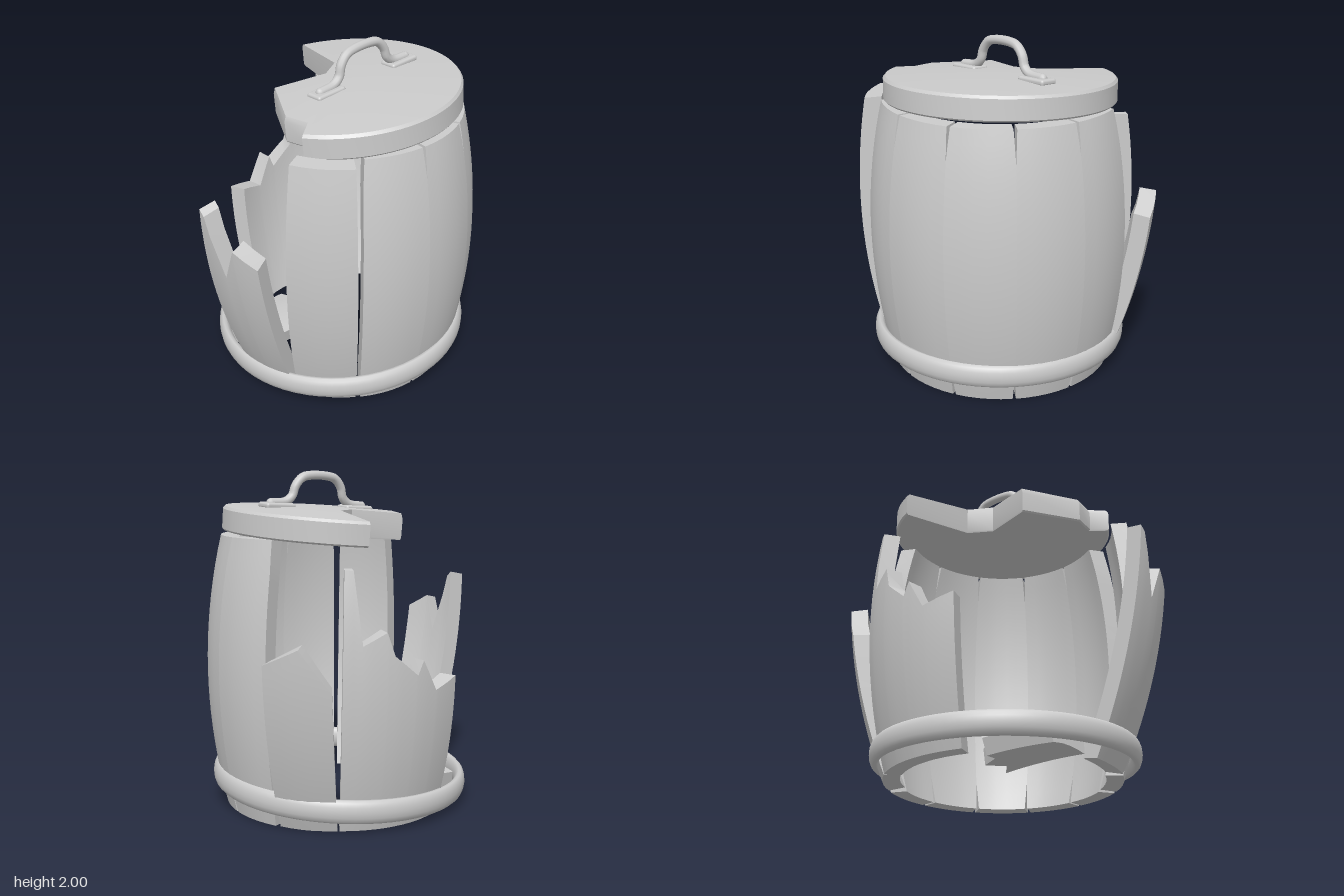
import * as THREE from 'three';
import { toCreasedNormals } from 'three/addons/utils/BufferGeometryUtils.js';
import { RoundedBoxGeometry } from 'three/addons/geometries/RoundedBoxGeometry.js';

const material = new THREE.MeshStandardMaterial({ color: 0xcccccc });
const rad = THREE.MathUtils.degToRad;
const HEIGHT = 1.63, THICK = 0.1, FOOT = 0.69, ROWS = 18;

// Outer radius of the bulging barrel at height y
const radiusAt = y => 0.79 - 0.1 * ((y - 0.83) / 0.82) ** 2;

function addMesh(parent, name, geometry) {
  const mesh = new THREE.Mesh(geometry, material);
  mesh.name = name;
  parent.add(mesh);
  return mesh;
}

// Joins closed loops of points into a skin; capped closes the first and last loop
function skin(loops, capped, crease) {
  const n = loops[0].length, last = (loops.length - 1) * n, index = [];
  const quad = (a, b, c, d) => index.push(a, b, c, a, c, d);
  for (let i = 0; i < loops.length - 1; i++)
    for (let k = 0; k < n; k++) {
      const m = (k + 1) % n;
      quad(i * n + k, (i + 1) * n + k, (i + 1) * n + m, i * n + m);
    }
  if (capped)
    for (let j = 0; j < n / 2 - 1; j++) {
      const q = [j, j + 1, n - 2 - j, n - 1 - j];
      quad(...q);
      quad(...q.reverse().map(v => v + last));
    }
  const geometry = new THREE.BufferGeometry();
  geometry.setAttribute('position', new THREE.Float32BufferAttribute(loops.flat(2), 3));
  geometry.setIndex(index);
  return toCreasedNormals(geometry, crease);
}

// Height of a jagged top, given [fraction of width, height] points
function topAt(tops, t) {
  for (let i = 1; i < tops.length; i++) {
    const [t0, h0] = tops[i - 1], [t1, h1] = tops[i];
    if (t <= t1) return h0 + (h1 - h0) * (t - t0) / (t1 - t0);
  }
  return tops[tops.length - 1][1];
}

// Curved stave facing +z, with its outer foot at the origin; notch narrows both ends
function staveGeometry(width, tops, notch = 0) {
  const steps = Math.round(width / 6);
  const ts = new Set(tops.map(p => p[0]));
  for (let i = 0; i <= steps; i++) ts.add(i / steps);
  const loops = [...ts].sort((a, b) => a - b).map(t => {
    const h = topAt(tops, t), outer = [], inner = [];
    for (let j = 0; j <= ROWS; j++) {
      const y = h * j / ROWS;
      const pinch = notch * Math.max(0, (y - 1.45) / 0.18, (0.18 - y) / 0.18);
      const a = (t - 0.5) * (rad(width) - 2 * pinch), r = radiusAt(y);
      outer.push([r * Math.sin(a), y, r * Math.cos(a) - FOOT]);
      inner.unshift([(r - THICK) * Math.sin(a), y, (r - THICK) * Math.cos(a) - FOOT]);
    }
    return [...outer, ...inner];
  });
  return skin(loops, true, 0.5);
}

// Stands a stave in the barrel between two angles (0 = front, 90 = left side)
function addStave(parent, name, from, to, tops, lean = 0, notch = 0) {
  const geometry = staveGeometry(to - from, tops, notch);
  geometry.rotateX(rad(lean)).translate(0, 0, FOOT).rotateY(rad((from + to) / 2));
  return addMesh(parent, name, geometry);
}

function makeLid() {
  const lid = new THREE.Group();
  lid.name = 'lid';
  const R = 0.68, pole = [0.11, -0.02], outline = [];
  // Round rim, then the broken edge
  for (let i = 0; i <= 44; i++) {
    const a = rad(116 - 220.5 * i / 44);
    outline.push([R * Math.cos(a), R * Math.sin(a)]);
  }
  outline.push([-0.02, -0.24], [-0.09, -0.09], [-0.4, 0.01], [-0.37, 0.39], [-0.26, 0.5]);
  // [scale of outline, height] from the top centre over the rim to the underside
  const profile = [[0, 0], [0.35, 0], [0.7, 0], [0.98, 0], [1, -0.015], [1, -0.13], [0.985, -0.14], [0, -0.14]];
  const loops = profile.map(([s, y]) => outline.map(([x, z]) => {
    const px = pole[0] + s * (x - pole[0]), pz = pole[1] + s * (z - pole[1]);
    const dome = y === 0 ? 0.03 * Math.max(0, 1 - (px * px + pz * pz) / (R * R)) : 0;
    return [px, y + dome, pz];
  }));
  addMesh(lid, 'lidBoard', skin(loops, false, 0.55));

  // Arched handle with two fixing plates
  const handle = new THREE.Group();
  handle.name = 'handle';
  const half = [[-0.33, 0.015], [-0.23, 0.025], [-0.185, 0.06], [-0.165, 0.12], [-0.12, 0.17], [-0.06, 0.185]];
  const path = [...half, ...half.map(([x, y]) => [-x, y]).reverse()];
  const curve = new THREE.CatmullRomCurve3(path.map(([x, y]) => new THREE.Vector3(x, y, 0)));
  addMesh(handle, 'handleBar', new THREE.TubeGeometry(curve, 48, 0.027, 10));
  for (const side of [-1, 1]) {
    addMesh(handle, 'handlePlate', new RoundedBoxGeometry(0.2, 0.035, 0.11, 3, 0.015))
      .position.set(side * 0.285, 0, 0);
    const end = addMesh(handle, 'handleEnd', new THREE.SphereGeometry(0.027, 10, 8));
    end.position.set(side * 0.33, 0.015, 0);
  }
  handle.position.set(0.12, 0.025, 0.005);
  handle.rotation.y = 0.607;
  lid.add(handle);
  return lid;
}

export function createModel() {
  const model = new THREE.Group();
  model.name = 'brokenBarrel';
  const barrel = new THREE.Group();
  barrel.name = 'barrel';
  barrel.position.set(0.04, 0, 0.02);
  model.add(barrel);

  // Intact wall: five staves with thin splits at top and bottom
  const full = [[0, HEIGHT], [1, HEIGHT]];
  for (let i = 0; i < 5; i++)
    addStave(barrel, 'wallStave', 0.6 + i * 29.7, 0.6 + (i + 1) * 29.7, full, 0, 0.014);

  // Loose and broken staves
  addStave(barrel, 'looseFrontStave', -30, -1, full, 3.5);
  addStave(barrel, 'leaningBrokenStave', -60, -31, [[0, 1.36], [0.1, 1.33], [0.4, 0.97], [0.62, 1.19], [1, 1.11]], 12);
  addStave(barrel, 'splinteredBackStaves', -180, -124, [[0, 1.48], [0.07, 1.48], [0.14, 1.08], [0.32, 1.15],
    [0.38, 1.02], [0.57, 0.9], [0.62, 0.98], [0.75, 0.8], [1, 0.85]], 2);
  addStave(barrel, 'shortBackStave', 151, 179, [[0, 1.0], [0.55, 1.1], [1, 0.86]], 8);

  // Fragment lying on the ground inside
  const fragment = addMesh(model, 'fallenFragment',
    staveGeometry(26, [[0, 0.43], [0.35, 0.46], [0.5, 0.57], [0.6, 0.55], [0.8, 0.49], [1, 0.55]]));
  fragment.rotation.set(-Math.PI / 2 - 0.15, -0.985, 0, 'YXZ');
  fragment.position.set(-0.61, 0.14, 0.175);

  // Slipped hoop, taller than it is thick
  const hoopGeometry = new THREE.TorusGeometry(0.75, 0.034, 14, 64);
  hoopGeometry.rotateX(Math.PI / 2).scale(1, 2.05, 1);
  const hoop = addMesh(model, 'hoop', hoopGeometry);
  hoop.position.set(0.025, 0.145, 0.03);
  hoop.rotation.set(-0.012, 0, 0.05);

  // Crooked lid
  const lid = makeLid();
  lid.position.set(0.04, 1.755, 0.02);
  lid.rotation.set(-0.02, 0, 0.07);
  model.add(lid);
  return model;
}
